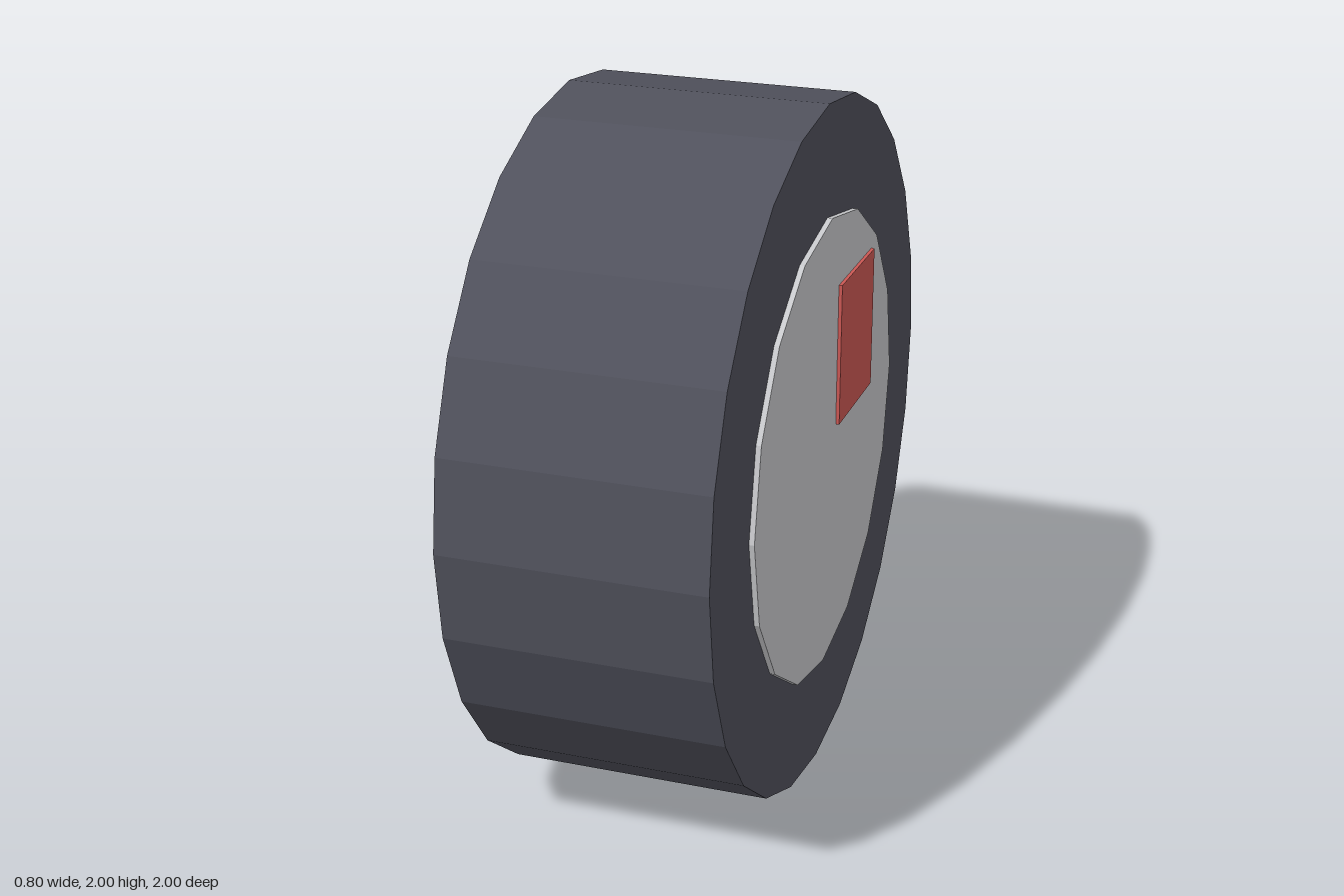
import * as THREE from 'three';

function material(name, color) {
  const m = new THREE.MeshStandardMaterial({ color, flatShading: true });
  m.name = name;
  return m;
}

export function createModel() {
  const rubber = material('dark grey rubber', 0x50515c);
  const metal = material('light grey metal', 0xc8c9cc);
  const red = material('red', 0xcc5854);
  const wheel = new THREE.Group();
  wheel.name = 'wheel';

  function add(name, geometry, mat, x, y, z) {
    const mesh = new THREE.Mesh(geometry, mat);
    mesh.name = name;
    mesh.position.set(x, y, z);
    wheel.add(mesh);
  }

  // Cylinder lying along the x axle
  const disc = (radius, width, sides) =>
    new THREE.CylinderGeometry(radius, radius, width, sides).rotateZ(Math.PI / 2);

  add('tire', disc(1, 0.75, 24), rubber, 0, 1, 0);

  // Hub cap and painted marker on each side
  for (const [label, s] of [['left', 1], ['right', -1]]) {
    add(label + 'HubCap', disc(0.68, 0.035, 16), metal, s * 0.3725, 1, 0);
    add(label + 'Marker', new THREE.BoxGeometry(0.015, 0.42, 0.34), red, s * 0.3925, 1.25, -0.25);
  }

  return wheel;
}
